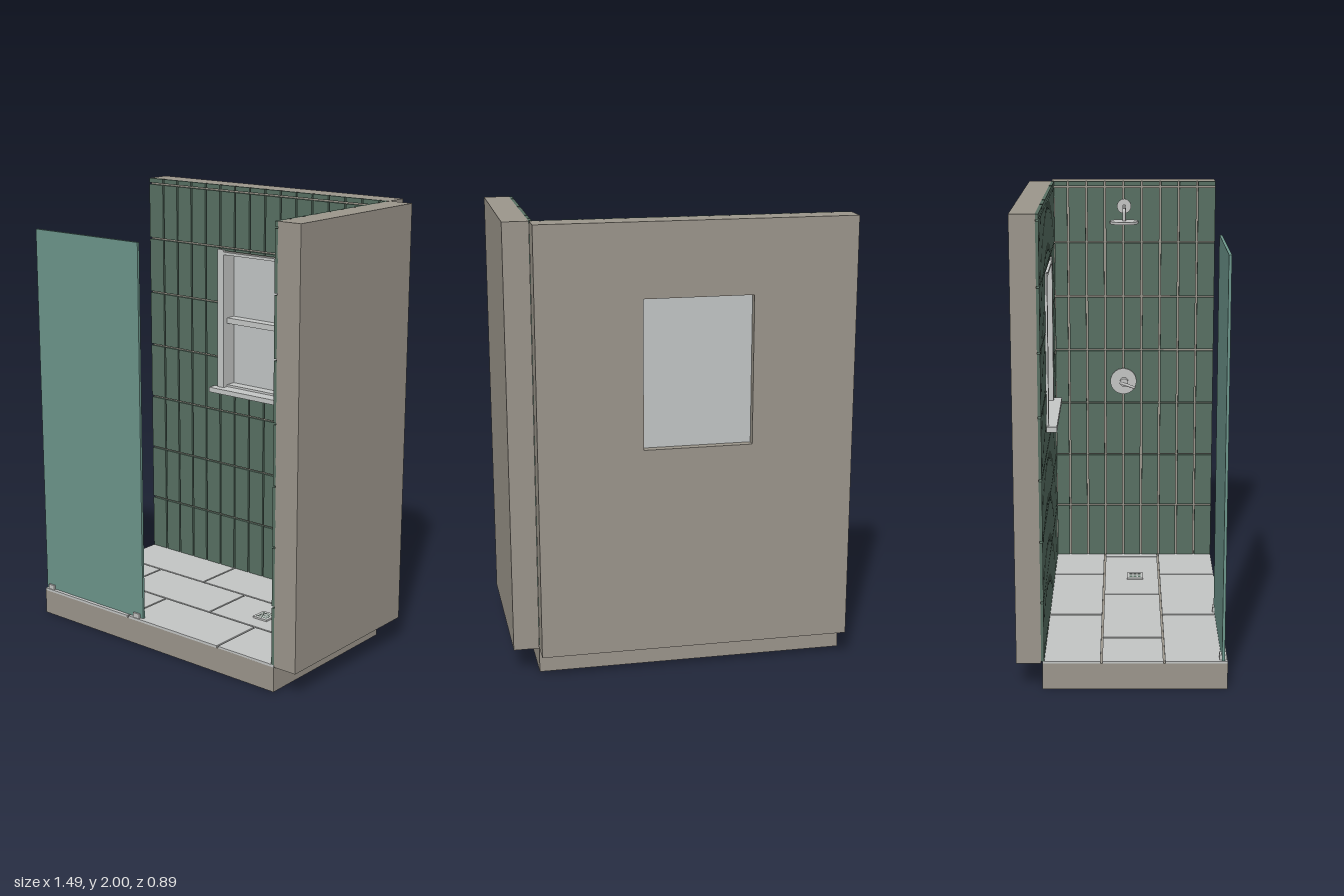
import * as THREE from 'three';

const mat = (name, color, opts = {}) => new THREE.MeshStandardMaterial({ name, color, ...opts });

export function createModel() {
  const root = new THREE.Group();
  root.name = 'showerEnclosure';
  const plaster = mat('plaster', 0x9c968c);
  const tile = mat('greenTile', 0x587063);
  const stone = mat('paleStone', 0xc4c6c5);
  const white = mat('windowWhite', 0xc6c8c7);
  const pane = mat('windowPane', 0xc2c6c6);
  const glass = mat('tealGlass', 0x6c958b);
  const metal = mat('metal', 0xc4c5c4);

  const group = (name) => {
    const g = new THREE.Group();
    g.name = name;
    root.add(g);
    return g;
  };
  // Box given by its minimum and maximum on each axis
  const box = (parent, name, m, x0, x1, y0, y1, z0, z1) => {
    const mesh = new THREE.Mesh(new THREE.BoxGeometry(x1 - x0, y1 - y0, z1 - z0), m);
    mesh.position.set((x0 + x1) / 2, (y0 + y1) / 2, (z0 + z1) / 2);
    mesh.name = name;
    parent.add(mesh);
    return mesh;
  };
  // Cylinder running between two points
  const rod = (parent, name, m, a, b, r0, r1 = r0, seg = 32) => {
    const p = new THREE.Vector3(...a), q = new THREE.Vector3(...b);
    const mesh = new THREE.Mesh(new THREE.CylinderGeometry(r1, r0, p.distanceTo(q), seg), m);
    mesh.position.copy(p).lerp(q, 0.5);
    mesh.quaternion.setFromUnitVectors(new THREE.Vector3(0, 1, 0), q.sub(p).normalize());
    mesh.name = name;
    parent.add(mesh);
  };
  // Intervals from lo to hi, split at start + k * step with a gap at each joint
  const GAP = 0.008;
  const spans = (lo, hi, start, step) => {
    const cuts = [];
    for (let k = -30; k < 30; k++) {
      const c = start + k * step;
      if (c > lo + 0.01 && c < hi - 0.01) cuts.push(c);
    }
    const edges = [lo - GAP / 2, ...cuts, hi + GAP / 2];
    return edges.slice(1).map((e, i) => [edges[i] + GAP / 2, e - GAP / 2]);
  };

  // Base
  const base = group('base');
  box(base, 'basePlinth', plaster, -0.743, 0.63, 0, 0.115, -0.335, 0.445);

  // Stone floor in running bond
  const floor = group('floor');
  const rows = [[-0.335, -0.091, -0.21], [-0.083, 0.174, 0.05], [0.182, 0.445, -0.21]];
  for (const [z0, z1, start] of rows)
    for (const [x0, x1] of spans(-0.743, 0.63, start, 0.53))
      box(floor, 'floorSlab', stone, x0, x1, 0.113, 0.124, z0, z1);

  // Walls, the back one with a window opening
  const walls = group('walls');
  const BZ = [-0.445, -0.34];
  box(walls, 'backWallRight', plaster, -0.743, -0.295, 0.115, 2, ...BZ);
  box(walls, 'backWallLeft', plaster, 0.178, 0.63, 0.115, 2, ...BZ);
  box(walls, 'backWallBelowWindow', plaster, -0.295, 0.178, 0.115, 1.03, ...BZ);
  box(walls, 'backWallAboveWindow', plaster, -0.295, 0.178, 1.68, 2, ...BZ);
  box(walls, 'sideWall', plaster, 0.631, 0.743, 0.115, 2, -0.34, 0.445);

  // Wall tiles, cut around the window
  const tiles = group('wallTiles');
  const courses = spans(0.124, 2, 0.915, 0.265);
  const hole = { x0: -0.308, x1: 0.193, y0: 1.015, y1: 1.695 };
  const backTile = (x0, x1, y0, y1) => {
    if (x1 - x0 > 0.002 && y1 - y0 > 0.002) box(tiles, 'backTile', tile, x0, x1, y0, y1, -0.341, -0.327);
  };
  for (const [y0, y1] of courses) {
    for (const [x0, x1] of spans(-0.743, 0.617, 0.585, 0.0885)) {
      if (x1 < hole.x0 || x0 > hole.x1 || y1 < hole.y0 || y0 > hole.y1) {
        backTile(x0, x1, y0, y1);
        continue;
      }
      const a = Math.max(y0, hole.y0), b = Math.min(y1, hole.y1);
      backTile(x0, x1, y0, a);
      backTile(x0, x1, b, y1);
      backTile(x0, hole.x0, a, b);
      backTile(hole.x1, x1, a, b);
    }
    for (const [z0, z1] of spans(-0.326, 0.445, 0.27, 0.0885))
      box(tiles, 'sideTile', tile, 0.617, 0.632, y0, y1, z0, z1);
  }

  // Two-sash window
  const win = group('window');
  box(win, 'windowPane', pane, -0.296, 0.179, 1.029, 1.681, -0.41, -0.395);
  for (const [x0, x1] of [[-0.31, -0.272], [0.157, 0.195]])
    box(win, 'windowJamb', white, x0, x1, 1.035, 1.7, -0.396, -0.318);
  box(win, 'windowHead', white, -0.272, 0.157, 1.677, 1.69, -0.396, -0.318);
  box(win, 'meetingRail', white, -0.272, 0.157, 1.345, 1.372, -0.396, -0.345);
  box(win, 'bottomRail', white, -0.272, 0.157, 1.035, 1.045, -0.396, -0.345);
  box(win, 'windowSill', white, -0.333, 0.222, 1.012, 1.035, -0.396, -0.282);

  // Glass screen with two floor clamps
  const screen = group('screen');
  box(screen, 'glassPanel', glass, -0.743, -0.127, 0.126, 1.84, 0.42, 0.432);
  for (const x of [-0.708, -0.162])
    box(screen, 'glassClamp', metal, x - 0.018, x + 0.018, 0.124, 0.146, 0.411, 0.441);

  // Drain with slots
  const drain = group('drain');
  box(drain, 'drainPlate', metal, 0.245, 0.323, 0.12, 0.132, 0.023, 0.101);
  for (let i = 0; i < 5; i++)
    for (let j = 0; j < 3; j++) {
      const x = 0.26 + i * 0.012, z = 0.042 + j * 0.02;
      box(drain, 'drainSlot', tile, x - 0.003, x + 0.003, 0.131, 0.1325, z - 0.007, z + 0.007);
    }

  // Rain shower head on a bent arm
  const shower = group('showerHead');
  const Z = 0.008;
  rod(shower, 'armFlange', metal, [0.617, 1.883, Z], [0.609, 1.883, Z], 0.034);
  const path = new THREE.CurvePath();
  const v = (x, y) => new THREE.Vector3(x, y, Z);
  path.add(new THREE.LineCurve3(v(0.615, 1.883), v(0.445, 1.883)));
  path.add(new THREE.QuadraticBezierCurve3(v(0.445, 1.883), v(0.432, 1.883), v(0.432, 1.87)));
  path.add(new THREE.LineCurve3(v(0.432, 1.87), v(0.432, 1.83)));
  const arm = new THREE.Mesh(new THREE.TubeGeometry(path, 60, 0.008, 12), metal);
  arm.name = 'showerArm';
  shower.add(arm);
  rod(shower, 'sprayDisc', metal, [0.432, 1.822, Z], [0.432, 1.834, Z], 0.067, 0.067, 48);

  // Mixer valve with lever
  const valve = group('mixerValve');
  rod(valve, 'valvePlate', metal, [0.617, 1.025, Z - 0.003], [0.608, 1.025, Z - 0.003], 0.064, 0.064, 48);
  rod(valve, 'valveBody', metal, [0.61, 1.025, Z], [0.575, 1.025, Z], 0.02);
  rod(valve, 'valveLever', metal, [0.582, 1.025, Z - 0.02], [0.57, 1.0, 0.062], 0.008, 0.006, 16);

  return root;
}
